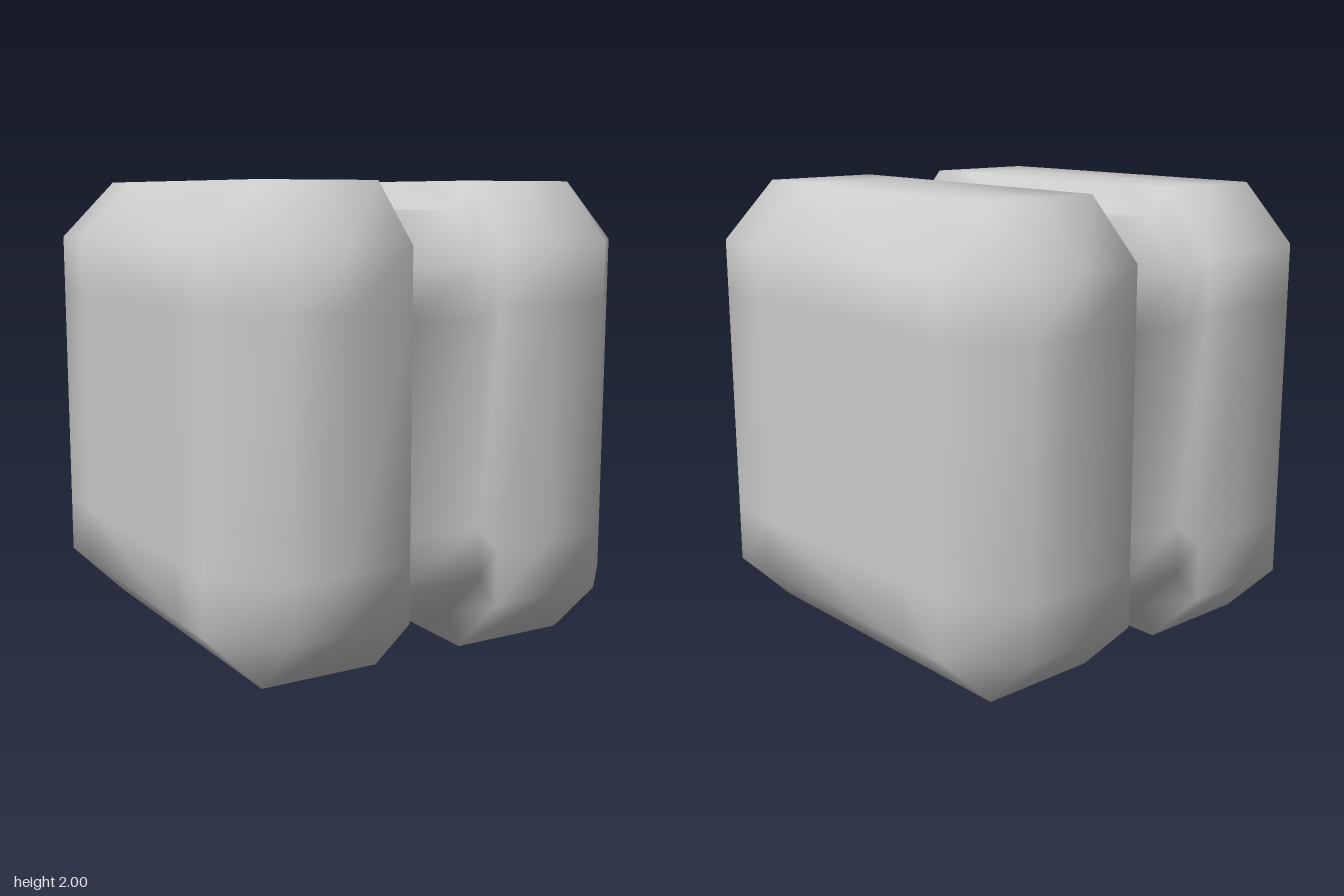
import * as THREE from 'three';
import { mergeVertices } from 'three/addons/utils/BufferGeometryUtils.js';

// Bevelled square outline in (y, z), running from +y towards +z
function outline() {
  const pts = [];
  for (let side = 0; side < 4; side++) {
    const a = side * Math.PI / 2, c = Math.round(Math.cos(a)), s = Math.round(Math.sin(a));
    for (const t of [-0.75, -0.5, 0.5, 0.75]) pts.push([c - s * t, s + c * t]);
  }
  return pts;
}

// Skin a list of rings ordered from -x to +x, with smooth normals
function loft(rings) {
  const n = rings[0].length, pos = rings.flat(2), index = [];
  for (let i = 0; i < rings.length - 1; i++) {
    for (let j = 0; j < n; j++) {
      const k = (j + 1) % n;
      const a = i * n + j, b = i * n + k, c = a + n, d = b + n;
      index.push(a, b, c, b, d, c);
    }
  }
  let g = new THREE.BufferGeometry();
  g.setAttribute('position', new THREE.Float32BufferAttribute(pos, 3));
  g.setIndex(index);
  g = mergeVertices(g, 1e-4);
  // drop faces that collapsed at the corners and cap centres
  const src = g.index.array, kept = [];
  for (let i = 0; i < src.length; i += 3) {
    const [a, b, c] = [src[i], src[i + 1], src[i + 2]];
    if (a !== b && b !== c && c !== a) kept.push(a, b, c);
  }
  g.setIndex(kept);
  g.computeVertexNormals();
  return g;
}

export function createModel() {
  const group = new THREE.Group();
  group.name = 'groovedBlock';
  const base = outline();

  // Each station: x, clamp limit (bevels the ends), scale (sinks the groove)
  const half = [
    [-1, 0, 1], [-1, 0.5, 1], [-1, 0.75, 1],  // end face
    [-0.75, 1, 1], [-0.5, 1, 1],              // block body
    [-0.215, 1, 1], [-0.215, 1, 0.88],        // groove wall
  ];
  const stations = [...half, ...half.slice().reverse().map(([x, l, s]) => [-x, l, s])];
  const rings = stations.map(([x, limit, scale]) => base.map(([y, z]) => [
    x,
    THREE.MathUtils.clamp(y, -limit, limit) * scale + 1,
    THREE.MathUtils.clamp(z, -limit, limit) * scale,
  ]));

  const body = new THREE.Mesh(loft(rings), new THREE.MeshStandardMaterial({ color: 0xcccccc }));
  body.name = 'bevelledBlockWithGroove';
  group.add(body);
  return group;
}
